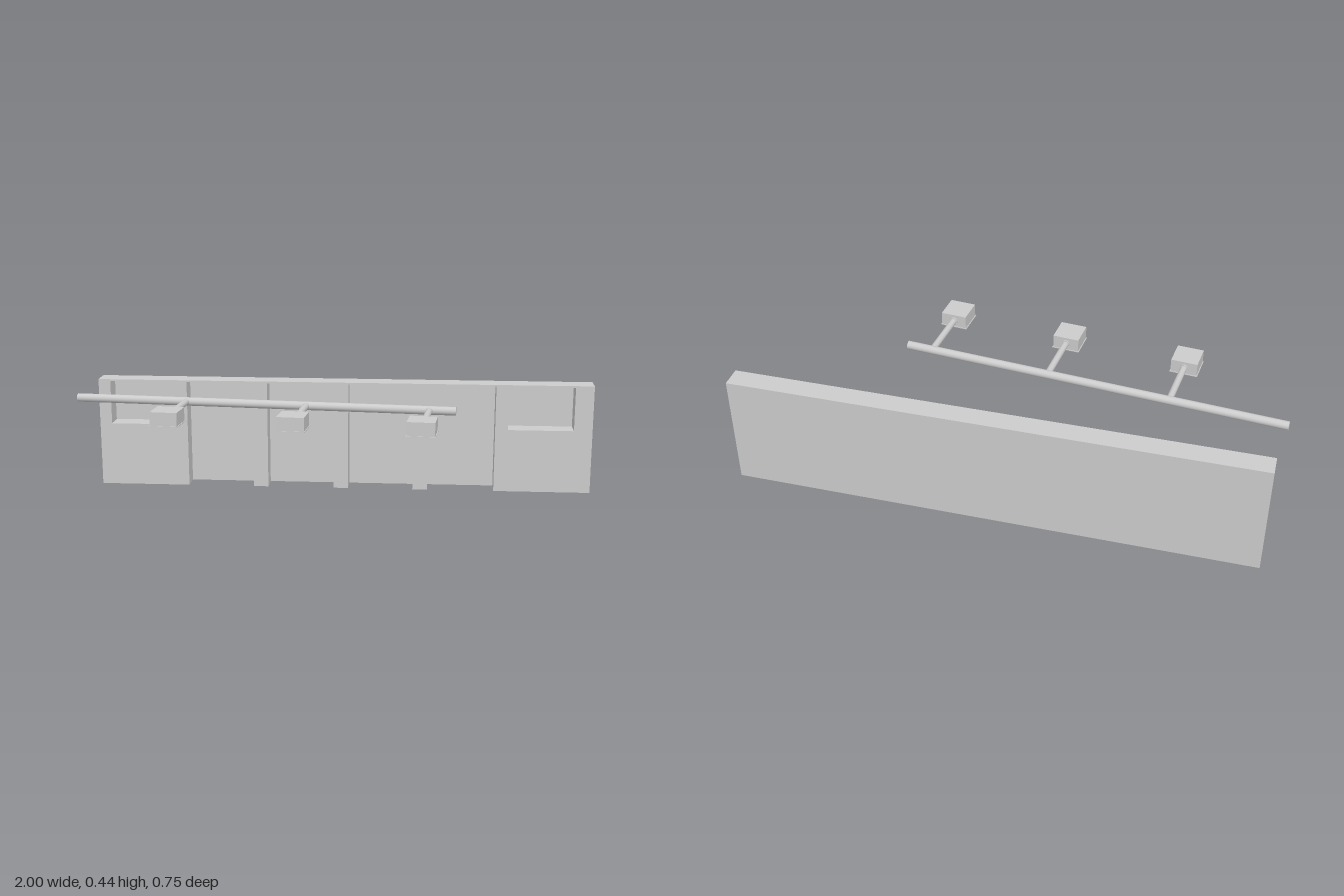
import * as THREE from 'three';

const grey = new THREE.MeshStandardMaterial({ color: 0xcccccc });

function add(parent, name, geometry, x = 0, y = 0, z = 0) {
  const mesh = new THREE.Mesh(geometry, grey);
  mesh.name = name;
  mesh.position.set(x, y, z);
  parent.add(mesh);
  return mesh;
}

const rect = (Type, x0, y0, x1, y1) => new Type([
  [x0, y0], [x1, y0], [x1, y1], [x0, y1],
].map(([x, y]) => new THREE.Vector2(x, y)));

// Wall with four floor-level bays and a window recess at each end
function makeWall() {
  const wall = new THREE.Group();
  wall.name = 'wall';
  const half = 0.988, height = 0.435, depth = 0.083, back = 0.004, bayTop = 0.428;
  const bays = [[-0.63, -0.365], [-0.305, -0.04], [0.02, 0.28], [0.34, 0.605]];

  const outline = [[-half, 0]];
  for (const [a, b] of bays) outline.push([a, 0], [a, bayTop], [b, bayTop], [b, 0]);
  outline.push([half, 0], [half, height], [-half, height]);
  const shape = new THREE.Shape(outline.map(([x, y]) => new THREE.Vector2(x, y)));
  for (const x of [-0.94, 0.655]) shape.holes.push(rect(THREE.Path, x, 0.253, x + 0.26, bayTop));

  add(wall, 'wallFrame', new THREE.ExtrudeGeometry(shape, { depth: depth - back, bevelEnabled: false }),
    0, 0, -depth / 2 + back);
  add(wall, 'backPanel', new THREE.BoxGeometry(half * 2, height, back), 0, height / 2, -depth / 2 + back / 2);

  wall.position.set(0.011, 0, -0.3335);
  wall.rotation.y = -0.0025;
  return wall;
}

// Square plate pierced by a grid of holes
function makeGrille(size, count) {
  const shape = rect(THREE.Shape, -size / 2, -size / 2, size / 2, size / 2);
  const pitch = (size - 0.016) / count, hole = pitch * 0.3;
  for (let i = 0; i < count; i++) {
    for (let j = 0; j < count; j++) {
      const x = (i - (count - 1) / 2) * pitch, y = (j - (count - 1) / 2) * pitch;
      shape.holes.push(rect(THREE.Path, x - hole, y - hole, x + hole, y + hole));
    }
  }
  return new THREE.ExtrudeGeometry(shape, { depth: 0.003, bevelEnabled: false }).rotateX(-Math.PI / 2);
}

// Arm reaching forward from the rail to a square lamp box
function makeLamp(x) {
  const lamp = new THREE.Group();
  lamp.name = 'lamp';
  lamp.position.x = x;
  const reach = 0.262, size = 0.1;
  const armLength = reach - size / 2;
  add(lamp, 'arm', new THREE.CylinderGeometry(0.0125, 0.0125, armLength, 24).rotateX(Math.PI / 2),
    0, 0.001, armLength / 2);
  add(lamp, 'collar', new THREE.CylinderGeometry(0.016, 0.016, 0.005, 24).rotateX(Math.PI / 2),
    0, 0.001, armLength - 0.0025);
  add(lamp, 'lampBox', new THREE.BoxGeometry(size, 0.05, size), 0, 0.002, reach);
  add(lamp, 'grille', makeGrille(0.106, 6), 0, -0.026, reach);
  return lamp;
}

// Slanted rail carrying three lamps
function makeLampRail() {
  const rail = new THREE.Group();
  rail.name = 'lampRail';
  add(rail, 'rail', new THREE.CylinderGeometry(0.016, 0.016, 1.457, 32).rotateZ(Math.PI / 2));
  for (const x of [-0.295, 0.168, 0.63]) rail.add(makeLamp(x));
  rail.position.set(-0.275, 0.408, -0.002);
  rail.rotation.y = -0.095;
  return rail;
}

export function createModel() {
  const model = new THREE.Group();
  model.name = 'wallWithLampRail';
  model.add(makeWall(), makeLampRail());
  return model;
}
